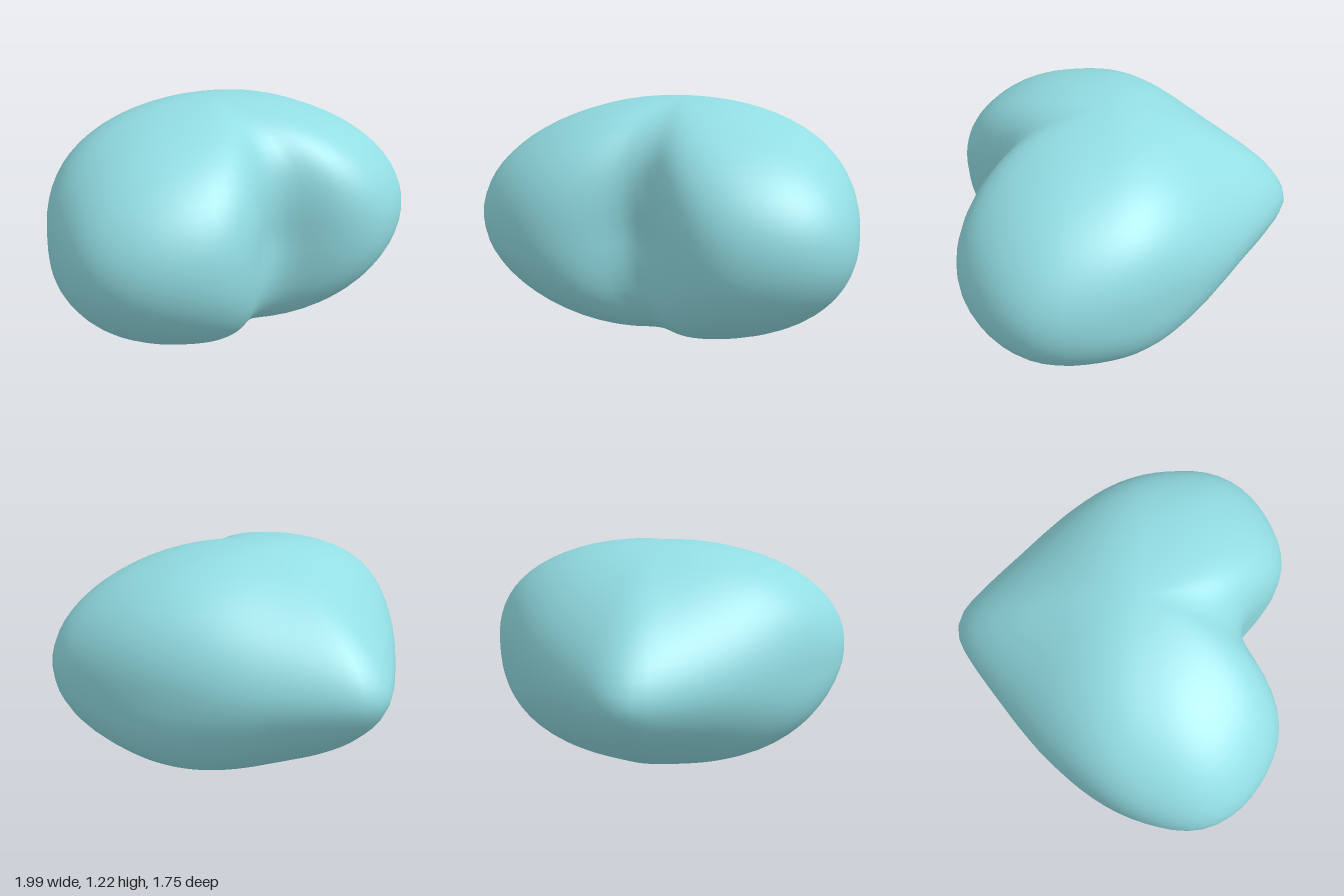
import * as THREE from 'three';

// Left half of the heart outline (x, z), from the rear tip to the front notch
const HALF = [
  [0, -0.873], [0.07, -0.858], [0.13, -0.825], [0.21, -0.765], [0.31, -0.68], [0.42, -0.582],
  [0.53, -0.482], [0.64, -0.37], [0.73, -0.26], [0.815, -0.14], [0.89, -0.01], [0.95, 0.13],
  [0.985, 0.27], [0.998, 0.42], [0.97, 0.55], [0.9, 0.66], [0.81, 0.743], [0.71, 0.805],
  [0.6, 0.852], [0.49, 0.873], [0.4, 0.865], [0.3, 0.83], [0.21, 0.77], [0.14, 0.71],
  [0.07, 0.655], [0, 0.635],
];
const CENTRE_Z = 0.1, HALF_HEIGHT = 0.61, ROUNDNESS = 2.1;
const CAP = { width: 1.03, front: 0.877, back: 0.58 };
const SEGMENTS = 80, RINGS = 36;

function heartOutline() {
  const mirrored = HALF.slice(1, -1).reverse().map(([x, z]) => [-x, z]);
  const points = [...HALF, ...mirrored].map(([x, z]) => new THREE.Vector3(x, 0, z - CENTRE_Z));
  return new THREE.CatmullRomCurve3(points, true).getSpacedPoints(SEGMENTS).slice(0, SEGMENTS);
}

// Factor that turns an outline point into a point on the soft oval of the cap
function capFactor(p) {
  const depth = p.z > 0 ? CAP.front : CAP.back;
  return 1 / Math.hypot(p.x / CAP.width, p.z / depth);
}

function heartGeometry() {
  const outline = heartOutline();
  const positions = [0, 0, CENTRE_Z];
  const index = [];

  // Cross-sections from bottom to top: heart at the middle, softening to an oval at the poles
  for (let i = 1; i < RINGS; i++) {
    const a = -Math.PI / 2 + (Math.PI * i) / RINGS;
    const scale = Math.cos(a) ** (2 / ROUNDNESS);
    const h = Math.abs(Math.sin(a)) ** (2 / ROUNDNESS);
    const y = HALF_HEIGHT * (1 + Math.sign(a) * h);
    for (const p of outline) {
      const facing = p.z / Math.hypot(p.x, p.z);
      const soften = h ** 1.5 * (0.75 - 0.25 * facing);
      const r = scale * THREE.MathUtils.lerp(1, capFactor(p), soften);
      positions.push(p.x * r, y, CENTRE_Z + p.z * r);
    }
  }
  const top = positions.length / 3;
  positions.push(0, 2 * HALF_HEIGHT, CENTRE_Z);

  // Pole fans and the bands between rings
  const at = (ring, j) => 1 + ring * SEGMENTS + (j % SEGMENTS);
  for (let j = 0; j < SEGMENTS; j++) {
    index.push(0, at(0, j), at(0, j + 1));
    index.push(top, at(RINGS - 2, j + 1), at(RINGS - 2, j));
    for (let i = 0; i < RINGS - 2; i++) {
      const a = at(i, j), b = at(i, j + 1), c = at(i + 1, j + 1), d = at(i + 1, j);
      index.push(a, d, c, a, c, b);
    }
  }
  const geometry = new THREE.BufferGeometry();
  geometry.setAttribute('position', new THREE.Float32BufferAttribute(positions, 3));
  geometry.setIndex(index);
  geometry.computeVertexNormals();
  return geometry;
}

export function createModel() {
  const group = new THREE.Group();
  group.name = 'heartModel';
  const heart = new THREE.Mesh(heartGeometry(), new THREE.MeshStandardMaterial({ color: 0x92dde3 }));
  heart.name = 'heart';
  group.add(heart);
  return group;
}
